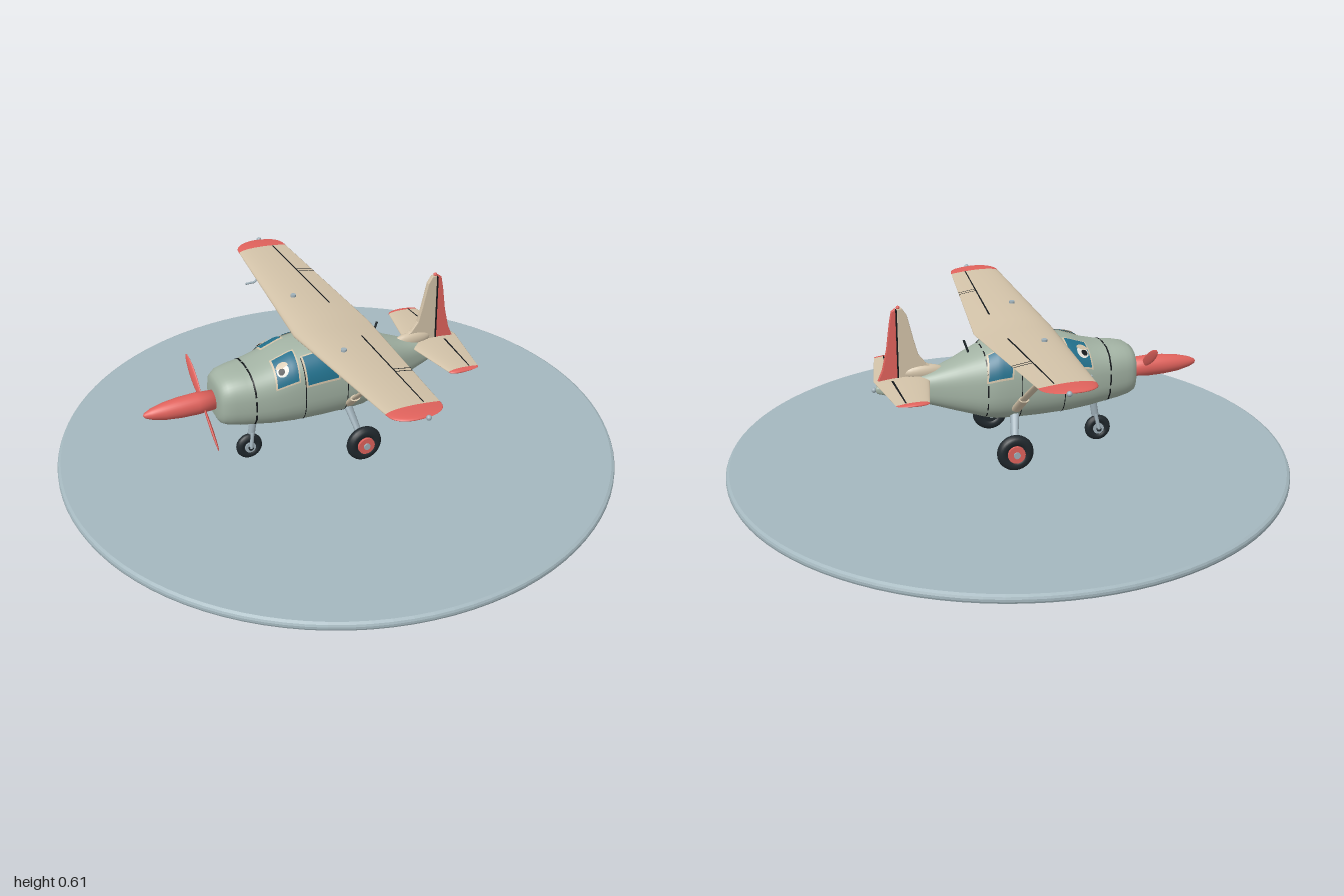
import * as THREE from 'three';
import { mergeVertices } from 'three/addons/utils/BufferGeometryUtils.js';

const paint = (name, color, side = THREE.FrontSide) => {
  const m = new THREE.MeshStandardMaterial({ color, side });
  m.name = name;
  return m;
};
const lerp = THREE.MathUtils.lerp;
const V = (x, y, z) => new THREE.Vector3(x, y, z);

// Fuselage stations: x, bottom, top, half width
const STATIONS = [
  [-0.462, 0.31, 0.31, 0], [-0.46, 0.25, 0.37, 0.06], [-0.452, 0.232, 0.392, 0.08], [-0.43, 0.222, 0.407, 0.094],
  [-0.39, 0.213, 0.415, 0.104], [-0.345, 0.207, 0.418, 0.113], [-0.28, 0.196, 0.432, 0.124], [-0.2, 0.186, 0.46, 0.132],
  [-0.1, 0.181, 0.472, 0.135], [0, 0.18, 0.472, 0.135], [0.06, 0.183, 0.462, 0.132], [0.1, 0.191, 0.442, 0.122],
  [0.15, 0.206, 0.42, 0.1], [0.2, 0.22, 0.397, 0.078], [0.27, 0.242, 0.37, 0.053], [0.36, 0.27, 0.345, 0.03],
  [0.465, 0.3, 0.328, 0.012], [0.475, 0.314, 0.314, 0],
];
const pow = (v) => Math.sign(v) * Math.abs(v) ** 0.77;

function bodyPoint(x, angle, off = 0) {
  let i = 0;
  while (i < STATIONS.length - 2 && x > STATIONS[i + 1][0]) i++;
  const a = STATIONS[i], b = STATIONS[i + 1], t = (x - a[0]) / (b[0] - a[0]);
  const [lo, hi, w] = [1, 2, 3].map((k) => lerp(a[k], b[k], t));
  return V(x, (lo + hi) / 2 + ((hi - lo) / 2 + off) * pow(Math.sin(angle)), (w + off) * pow(Math.cos(angle)));
}

// Tapered aerofoil with rounded tips; v runs round the section
const foil = (s) => (z, v) => {
  const a = Math.abs(z), t = a / s.span, q = Math.max(0, (a - s.span) / s.round);
  const k = Math.sqrt(Math.max(0, 1 - q ** 3));
  const lead = lerp(s.root[0], s.tip[0], t), trail = lerp(s.root[1], s.tip[1], t), mid = (lead + trail) / 2;
  const u = (1 - Math.cos(v * Math.PI * 2)) / 2;
  const bulge = (Math.sqrt(u) * (1 - u)) / 0.385 * lerp(s.thick[0], s.thick[1], t) * k;
  return V(mid + (lerp(lead, trail, u) - mid) * k, s.y + s.rise * a + (v < 0.5 ? 0.62 : -0.38) * bulge, z);
};
const wing = foil({ root: [-0.16, 0.122], tip: [-0.12, 0.068], span: 0.615, round: 0.073, y: 0.484, rise: 0.057, thick: [0.044, 0.018] });
const stab = foil({ root: [0.28, 0.478], tip: [0.325, 0.44], span: 0.23, round: 0.02, y: 0.344, rise: 0, thick: [0.02, 0.012] });

export function createModel() {
  const model = new THREE.Group();
  const sage = paint('sage', 0xa3b3a4), beige = paint('beige', 0xd2c2a8, THREE.DoubleSide);
  const coral = paint('coral', 0xe0625c), glass = paint('windowBlue', 0x22718d, THREE.DoubleSide);
  const black = paint('seamBlack', 0x14181b, THREE.DoubleSide), tyre = paint('tyre', 0x20282d);
  const metal = paint('metal', 0x9fb0b9), white = paint('eyeWhite', 0xf2f0e8, THREE.DoubleSide);
  const stone = paint('standBlueGrey', 0xa4b7be);

  const add = (name, geo, mat, pos) => {
    const m = new THREE.Mesh(geo, mat);
    m.name = name;
    if (pos) m.position.copy(pos);
    model.add(m);
    return m;
  };
  // Smooth surface from a rule over u, v in 0..1
  const surface = (name, fn, nu, nv, mat) => {
    const g = new THREE.PlaneGeometry(1, 1, nu, nv), p = g.attributes.position, uv = g.attributes.uv;
    for (let i = 0; i < p.count; i++) p.setXYZ(i, ...fn(uv.getX(i), uv.getY(i)).toArray());
    g.deleteAttribute('uv');
    g.deleteAttribute('normal');
    const merged = mergeVertices(g, 1e-5);
    merged.computeVertexNormals();
    return add(name, merged, mat);
  };
  const rod = (name, a, b, r, mat, flat = 1, r2 = r) => {
    const d = b.clone().sub(a);
    const m = add(name, new THREE.CylinderGeometry(r2, r, d.length(), 14), mat, a.clone().add(b).multiplyScalar(0.5));
    m.quaternion.setFromUnitVectors(V(0, 1, 0), d.normalize());
    m.scale.z = flat;
    return m;
  };
  const ball = (name, pos, r, mat) => add(name, new THREE.SphereGeometry(r, 14, 10), mat, pos);
  const disc = (name, pos, r, w, mat) => {
    const m = add(name, new THREE.CylinderGeometry(r, r, w, 28), mat, pos);
    m.rotation.x = Math.PI / 2;
  };
  const bodyPatch = (name, x0, x1, a0, a1, off, mat, lean = 0) =>
    surface(name, (u, v) => bodyPoint(lerp(x0, x1, u) + lean * Math.sin(lerp(a0, a1, v)), lerp(a0, a1, v), off), 8, 16, mat);

  // Round stand with a rounded rim
  const rim = [[0, 0], [0.988, 0], [0.997, 0.005], [1, 0.012], [1, 0.02], [0.997, 0.027], [0.988, 0.032], [0, 0.032]];
  const stand = new THREE.LatheGeometry(rim.map((p) => new THREE.Vector2(...p)), 96).toNonIndexed();
  stand.computeVertexNormals();
  add('stand', stand, stone);

  // Fuselage and panel seams
  const n = STATIONS.length - 1;
  surface('fuselage', (u, v) => {
    const i = Math.min(n - 1, Math.floor(u * n + 1e-6));
    return bodyPoint(lerp(STATIONS[i][0], STATIONS[i + 1][0], u * n - i), v * Math.PI * 2);
  }, n * 2, 48, sage);
  bodyPatch('cowlSeam', -0.348, -0.342, 0, Math.PI * 2, 0.002, black);
  bodyPatch('rearSeam', 0.098, 0.102, 0, Math.PI * 2, 0.002, black);

  // Windows, doors and eyes on both sides
  for (const s of [1, -1]) {
    const span = (a, b) => (s > 0 ? [a, b] : [Math.PI - b, Math.PI - a]);
    const pane = (name, x0, x1, a, b, lean) => {
      bodyPatch(name + 'Frame', x0 - 0.006, x1 + 0.006, ...span(a - 0.05, b + 0.05), 0.002, beige, lean);
      bodyPatch(name, x0, x1, ...span(a, b), 0.004, glass, lean);
    };
    pane('windscreen', -0.275, -0.2, 0.36, 1.3, 0.012);
    pane('doorWindow', -0.165, -0.052, 0.19, 1.0, 0);
    pane('rearWindow', 0.022, 0.102, 0.2, 1.0, -0.014);
    bodyPatch('doorFrontSeam', -0.174, -0.171, ...span(-1.1, 1), 0.002, black);
    bodyPatch('doorRearSeam', -0.018, -0.015, ...span(-1.1, 1), 0.002, black);

    const spot = (name, x, angle, rx, ra, off, mat, from = 0, to = 2 * Math.PI) => surface(name, (u, v) => {
      const f = lerp(from, to, v), c = s > 0 ? angle : Math.PI - angle;
      return bodyPoint(x + u * rx * Math.cos(f), c + u * ra * Math.sin(f), off);
    }, 3, 24, mat);
    spot('eye', -0.243, 0.82, 0.021, 0.2, 0.006, white);
    spot('pupil', -0.248, 0.8, 0.011, 0.105, 0.008, black);
    const top = s > 0 ? 0.25 : Math.PI + 0.25;
    spot('eyelid', -0.243, 0.88, 0.023, 0.2, 0.0095, beige, top, top + Math.PI - 0.5);
  }

  // Spinner and two-bladed propeller
  const cone = [[0, 0], [0.034, 0], [0.038, 0.06], [0.036, 0.12], [0.03, 0.175], [0.019, 0.22], [0.009, 0.242], [0, 0.248]];
  add('spinner', new THREE.LatheGeometry(cone.map((p) => new THREE.Vector2(...p)), 32), coral, V(-0.461, 0.31, 0)).rotation.z = Math.PI / 2;
  const blades = new THREE.Group();
  blades.name = 'propeller';
  for (const s of [1, -1]) {
    const blade = new THREE.Mesh(new THREE.SphereGeometry(1, 20, 12), coral);
    blade.name = 'blade';
    blade.scale.set(0.005, 0.085, 0.018);
    blade.position.y = s * 0.1;
    blade.rotation.y = s * 0.3;
    blades.add(blade);
  }
  blades.position.set(-0.5, 0.31, 0);
  blades.rotation.x = -Math.atan2(0.15, 0.11);
  model.add(blades);

  // Main wing, tailplane and their coloured tips
  const lift = (name, fn, z0, z1, mat, nu) => surface(name, (u, v) => fn(lerp(z0, z1, u), v), nu, 36, mat);
  lift('wing', wing, -0.615, 0.615, beige, 24);
  lift('tailplane', stab, -0.23, 0.23, beige, 10);
  // Thin seam on the upper or lower skin, given as chord fractions
  const seam = (name, fn, z0, z1, c0, c1, side) => surface(name, (u, v) => {
    const c = lerp(c0, c1, v), w = Math.acos(1 - 2 * c) / (2 * Math.PI);
    return fn(lerp(z0, z1, u), side > 0 ? w : 1 - w).add(V(0, side * 0.002, 0));
  }, 16, 6, black);
  for (const s of [1, -1]) {
    const range = (a, b) => (s > 0 ? [a, b] : [-b, -a]);
    lift('wingTip', wing, ...range(0.615, 0.688), coral, 20);
    lift('tailplaneTip', stab, ...range(0.23, 0.25), coral, 12);
    for (const side of [1, -1]) {
      seam('flapHinge', wing, ...range(0.13, 0.61), 0.7, 0.722, side);
      seam('flapGap', wing, ...range(0.383, 0.387), 0.7, 1, side);
      seam('aileronGap', wing, ...range(0.4, 0.404), 0.7, 1, side);
      seam('elevatorHinge', stab, ...range(0.03, 0.23), 0.68, 0.72, side);
    }
    ball('tipLight', V(-0.01, 0.523, s * 0.689), 0.009, metal);
    add('fuelCap', new THREE.CylinderGeometry(0.01, 0.01, 0.008, 16), metal, V(-0.07, 0.521, s * 0.212));

    // Wing strut
    rod('wingStrut', V(0, 0.25, s * 0.12), V(-0.045, 0.497, s * 0.41), 0.015, beige, 0.5);
    rod('strutFoot', V(0.0, 0.24, s * 0.115), V(-0.01, 0.3, s * 0.18), 0.019, beige, 0.6);

    // Main landing gear
    rod('mainLeg', V(0.0, 0.225, s * 0.09), V(0.02, 0.115, s * 0.17), 0.017, metal, 0.7, 0.012);
    rod('mainAxle', V(0.022, 0.105, s * 0.15), V(0.022, 0.105, s * 0.213), 0.009, metal);
    const z = s * 0.185;
    const ring = new THREE.TorusGeometry(0.045, 0.02, 14, 32);
    add('mainTyre', ring, tyre, V(0.022, 0.107, z));
    disc('mainTyreCore', V(0.022, 0.107, z), 0.045, 0.03, tyre);
    disc('mainHub', V(0.022, 0.107, s * 0.19), 0.031, 0.038, coral);
    disc('hubCap', V(0.022, 0.107, s * 0.211), 0.012, 0.006, metal);
  }

  // Fin and rudder
  const plate = (name, pts, mat, depth) => {
    const shape = new THREE.Shape(pts.map((p) => new THREE.Vector2(...p)));
    const g = new THREE.ExtrudeGeometry(shape, { depth, bevelThickness: 0.003, bevelSize: 0.003, bevelSegments: 2 });
    add(name, g.translate(0, 0, -depth / 2), mat);
  };
  plate('fin', [[0.25, 0.345], [0.387, 0.33], [0.387, 0.6], [0.374, 0.6], [0.358, 0.575], [0.338, 0.49], [0.322, 0.43], [0.295, 0.395], [0.25, 0.372]], beige, 0.01);
  plate('rudder', [[0.396, 0.34], [0.462, 0.342], [0.443, 0.385], [0.426, 0.46], [0.414, 0.55], [0.406, 0.592], [0.396, 0.6]], coral, 0.007);
  add('rudderHinge', new THREE.BoxGeometry(0.005, 0.255, 0.018), black, V(0.392, 0.47, 0));
  add('finFairing', new THREE.SphereGeometry(1, 20, 12), beige, V(0.3, 0.365, 0)).scale.set(0.075, 0.028, 0.02);
  ball('finLight', V(0.385, 0.605, 0), 0.007, coral);
  ball('tailLight', V(0.477, 0.314, 0), 0.009, metal);

  // Nose gear
  rod('noseLeg', V(-0.312, 0.225, 0), V(-0.328, 0.135, 0), 0.013, metal);
  for (const s of [1, -1]) rod('noseFork', V(-0.327, 0.142, s * 0.01), V(-0.338, 0.085, s * 0.02), 0.007, metal);
  add('noseTyre', new THREE.TorusGeometry(0.033, 0.015, 12, 28), tyre, V(-0.338, 0.085, 0));
  disc('noseTyreCore', V(-0.338, 0.085, 0), 0.033, 0.022, tyre);
  disc('noseHub', V(-0.338, 0.085, 0), 0.02, 0.032, metal);
  disc('noseAxle', V(-0.338, 0.085, 0), 0.009, 0.046, tyre);

  // Aerials, exhaust and air-speed probe
  rod('aerial', V(0.14, 0.415, 0), V(0.158, 0.467, 0), 0.004, tyre);
  rod('exhaust', V(-0.13, 0.195, 0.03), V(-0.07, 0.172, 0.03), 0.009, tyre);
  rod('probeMast', V(-0.1, 0.505, -0.45), V(-0.125, 0.475, -0.45), 0.004, metal);
  rod('probe', V(-0.125, 0.475, -0.45), V(-0.16, 0.475, -0.45), 0.004, metal);
  return model;
}
